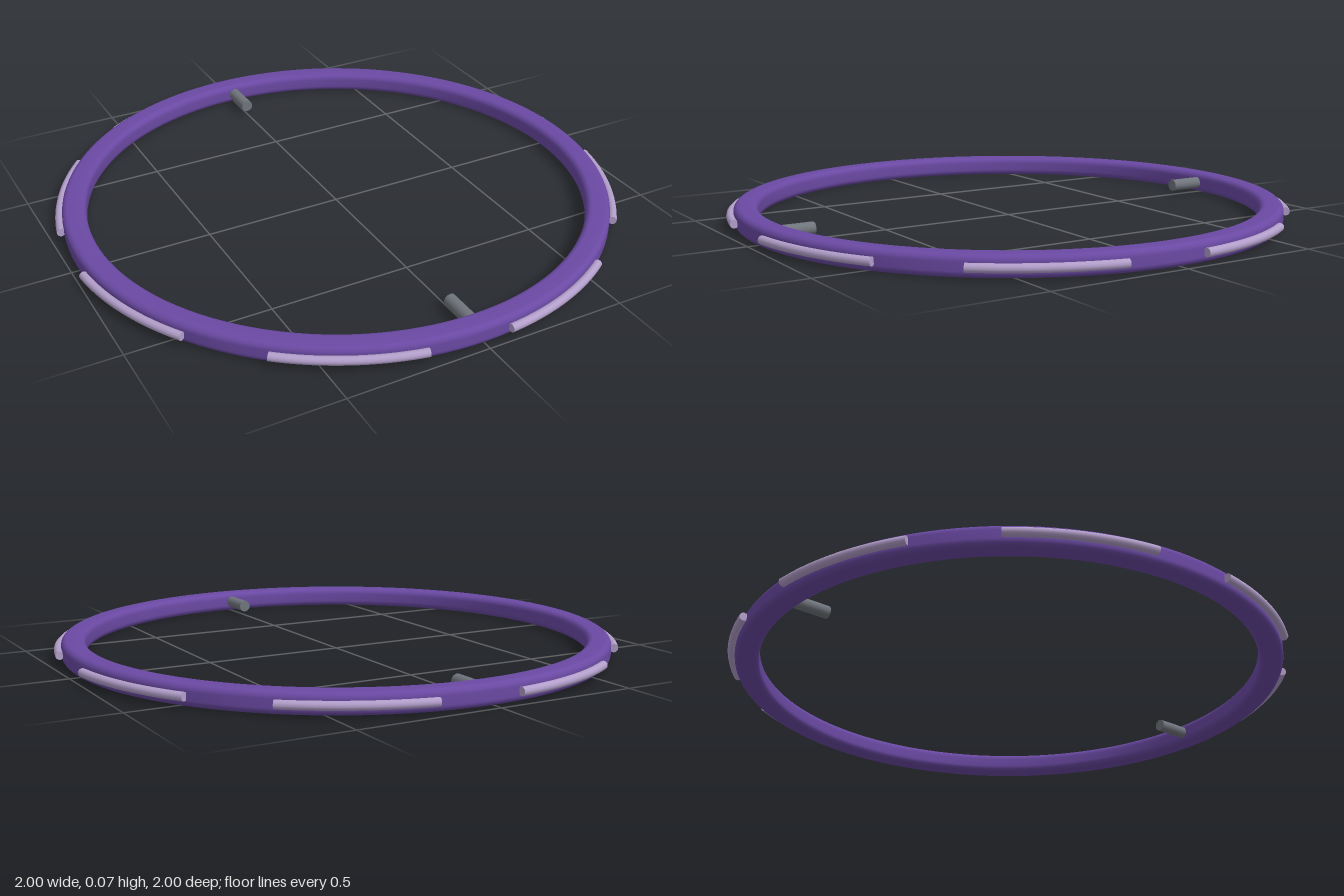
import * as THREE from 'three';

const purple = new THREE.MeshStandardMaterial({ color: 0x6a49a3 });
purple.name = 'purple ring';
const lilac = new THREE.MeshStandardMaterial({ color: 0xb39fcb });
lilac.name = 'pale lilac';
const grey = new THREE.MeshStandardMaterial({ color: 0x70747c });
grey.name = 'grey metal';

const MID = 0.0365; // height of the ring's centre line

// Rounded rectangle cross-section, counter-clockwise, closed on the inner wall
function ringProfile(inner, outer, bottom, top, r) {
  const pts = [new THREE.Vector2(inner, (bottom + top) / 2)];
  const corners = [
    [inner + r, bottom + r, Math.PI],
    [outer - r, bottom + r, Math.PI * 1.5],
    [outer - r, top - r, 0],
    [inner + r, top - r, Math.PI / 2],
  ];
  for (const [cx, cy, start] of corners) {
    for (let i = 0; i <= 5; i++) {
      const a = start + (i / 5) * Math.PI / 2;
      pts.push(new THREE.Vector2(cx + r * Math.cos(a), cy + r * Math.sin(a)));
    }
  }
  pts.push(pts[0].clone());
  return pts;
}

export function createModel() {
  const model = new THREE.Group();
  model.name = 'ring';
  const add = (geometry, material, name, parent = model) => {
    const mesh = new THREE.Mesh(geometry, material);
    mesh.name = name;
    parent.add(mesh);
    return mesh;
  };

  // Main hoop
  add(new THREE.LatheGeometry(ringProfile(0.893, 0.978, 0, 0.073, 0.022), 128), purple, 'hoop');

  // Eight raised strips around the rim, with flat end caps
  const R = 0.988, r = 0.015, span = THREE.MathUtils.degToRad(28.4);
  const arc = new THREE.TorusGeometry(R, r, 12, 24, span);
  arc.rotateX(Math.PI / 2);
  const cap = new THREE.CircleGeometry(r, 12);
  for (let i = 0; i < 8; i++) {
    const strip = new THREE.Group();
    strip.name = 'rimStrip' + (i + 1);
    strip.position.y = MID;
    strip.rotation.y = -THREE.MathUtils.degToRad(11.6 + i * 45);
    add(arc, lilac, 'stripArc', strip);
    const startCap = add(cap, lilac, 'stripStartCap', strip);
    startCap.position.x = R;
    startCap.rotation.y = Math.PI;
    const endCap = add(cap, lilac, 'stripEndCap', strip);
    endCap.position.set(R * Math.cos(span), 0, R * Math.sin(span));
    endCap.rotation.y = -span;
    model.add(strip);
  }

  // Two pins pointing inward at the front and back
  const pin = new THREE.CylinderGeometry(0.022, 0.022, 0.14, 20);
  pin.rotateX(Math.PI / 2);
  for (const side of [1, -1]) {
    add(pin, grey, side > 0 ? 'frontPin' : 'backPin').position.set(0, MID, side * 0.837);
  }
  return model;
}
